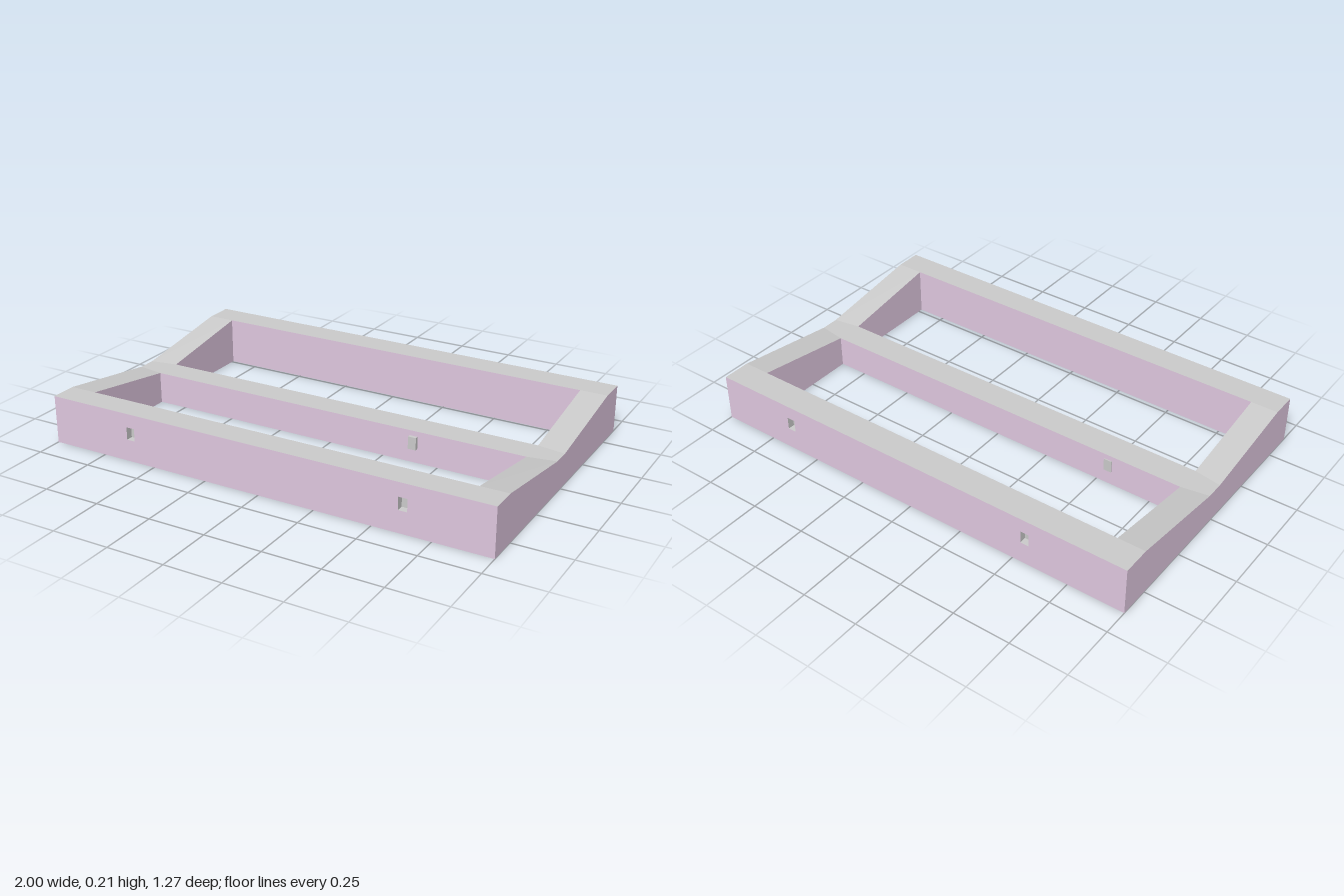
import * as THREE from 'three';

const W = 1, D = 0.635, H = 0.21, LOW = 0.14;   // outer half width, half depth, heights
const IN = 0.88;                                // inner half width of the openings
const FRONT = 0.52, BACK = -0.51;               // inner edges of the front and back rails
const BAR = [0.07, -0.05];                      // faces of the middle bar
const DIP = [0.05, -0.03];                      // low flat on the outer side walls

const grey = new THREE.MeshStandardMaterial({ color: 0xcccccc, flatShading: true });
const pink = new THREE.MeshStandardMaterial({ color: 0xe0c8e0, flatShading: true });

// Mesh from convex polygons; each item is [facing direction, ...corners]
function facets(name, material, polygons) {
  const points = [];
  for (const [facing, ...corners] of polygons) {
    const v = corners.map(c => new THREE.Vector3(...c));
    const normal = v[1].clone().sub(v[0]).cross(v[2].clone().sub(v[0]));
    if (normal.dot(new THREE.Vector3(...facing)) < 0) v.reverse();
    for (let i = 1; i < v.length - 1; i++) points.push(v[0], v[i], v[i + 1]);
  }
  const geometry = new THREE.BufferGeometry().setFromPoints(points);
  geometry.computeVertexNormals();
  const mesh = new THREE.Mesh(geometry, material);
  mesh.name = name;
  return mesh;
}

function rectangle(Type, x0, y0, x1, y1) {
  return new Type([[x0, y0], [x1, y0], [x1, y1], [x0, y1]].map(p => new THREE.Vector2(...p)));
}

// Long outer wall at z = 0 facing +z, with shallow slots cut in at the given x
function slottedWall(name, slots) {
  const group = new THREE.Group();
  group.name = name;
  const shape = rectangle(THREE.Shape, -W, 0, W, H);
  const a = 0.095, b = 0.15, d = -0.03;
  for (const x of slots) {
    const l = x - 0.019, r = x + 0.019;
    shape.holes.push(rectangle(THREE.Path, l, a, r, b));
    group.add(facets('slot', grey, [
      [[0, 0, 1], [l, a, d], [r, a, d], [r, b, d], [l, b, d]],
      [[0, 1, 0], [l, a, 0], [r, a, 0], [r, a, d], [l, a, d]],
      [[0, -1, 0], [l, b, 0], [r, b, 0], [r, b, d], [l, b, d]],
      [[1, 0, 0], [l, a, 0], [l, b, 0], [l, b, d], [l, a, d]],
      [[-1, 0, 0], [r, a, 0], [r, b, 0], [r, b, d], [r, a, d]],
    ]));
  }
  const wall = new THREE.Mesh(new THREE.ShapeGeometry(shape), pink);
  wall.name = name + 'Face';
  group.add(wall);
  return group;
}

export function createModel() {
  const model = new THREE.Group();
  model.name = 'dividedFrame';

  // Outer long walls
  const front = slottedWall('frontWall', [-0.61, 0.63]);
  front.position.z = D;
  const back = slottedWall('backWall', [-0.63, 0.555]);
  back.rotation.y = Math.PI;
  back.position.z = -D;
  model.add(front, back);

  // Grey top: rails, middle bar and sloping side members
  const up = [0, 1, 0];
  const top = [
    [up, [-W, H, D], [W, H, D], [W, H, FRONT], [-W, H, FRONT]],
    [up, [-W, H, -D], [W, H, -D], [W, H, BACK], [-W, H, BACK]],
    [up, [-IN, LOW, BAR[0]], [IN, LOW, BAR[0]], [IN, LOW, BAR[1]], [-IN, LOW, BAR[1]]],
  ];
  for (const s of [-1, 1]) {
    top.push([up, [s * IN, LOW, BAR[0]], [s * W, LOW, DIP[0]], [s * W, LOW, DIP[1]], [s * IN, LOW, BAR[1]]]);
    [FRONT, BACK].forEach((z, i) => top.push(
      [up, [s * IN, H, z], [s * W, H, z], [s * W, LOW, DIP[i]]],
      [up, [s * IN, H, z], [s * W, LOW, DIP[i]], [s * IN, LOW, BAR[i]]]));
  }
  model.add(facets('topSurface', grey, top));

  // Outer side walls, split at the dip so every polygon is convex
  for (const s of [-1, 1]) {
    const out = [s, 0, 0], x = s * W;
    const line = [[D, H], [FRONT, H], [DIP[0], LOW], [DIP[1], LOW], [BACK, H], [-D, H]];
    const strips = line.slice(1).map(([z, y], i) =>
      [out, [x, 0, line[i][0]], [x, line[i][1], line[i][0]], [x, y, z], [x, 0, z]]);
    model.add(facets(s > 0 ? 'leftWall' : 'rightWall', pink, strips));
  }

  // Walls inside the two openings
  [FRONT, BACK].forEach((z, i) => {
    const dir = Math.sign(z), b = BAR[i];
    const walls = [
      [[0, 0, -dir], [-IN, 0, z], [IN, 0, z], [IN, H, z], [-IN, H, z]],
      [[0, 0, dir], [-IN, 0, b], [IN, 0, b], [IN, LOW, b], [-IN, LOW, b]],
    ];
    for (const s of [-1, 1])
      walls.push([[-s, 0, 0], [s * IN, 0, z], [s * IN, H, z], [s * IN, LOW, b], [s * IN, 0, b]]);
    model.add(facets(i ? 'backOpeningWalls' : 'frontOpeningWalls', pink, walls));
  });

  // Underside with both openings
  const base = rectangle(THREE.Shape, -W, -D, W, D);
  base.holes.push(rectangle(THREE.Path, -IN, BAR[0], IN, FRONT), rectangle(THREE.Path, -IN, BACK, IN, BAR[1]));
  const underside = new THREE.Mesh(new THREE.ShapeGeometry(base), grey);
  underside.name = 'underside';
  underside.rotation.x = Math.PI / 2;
  model.add(underside);

  // Small pegs on the faces of the middle bar
  for (const [name, x, z, depth] of [['frontPeg', 0.39, BAR[0], 0.015], ['backPeg', -0.55, BAR[1], -0.004]]) {
    const peg = new THREE.Mesh(new THREE.BoxGeometry(0.036, 0.055, Math.abs(depth)), grey);
    peg.name = name;
    peg.position.set(x, 0.09, z + depth / 2);
    model.add(peg);
  }
  return model;
}
